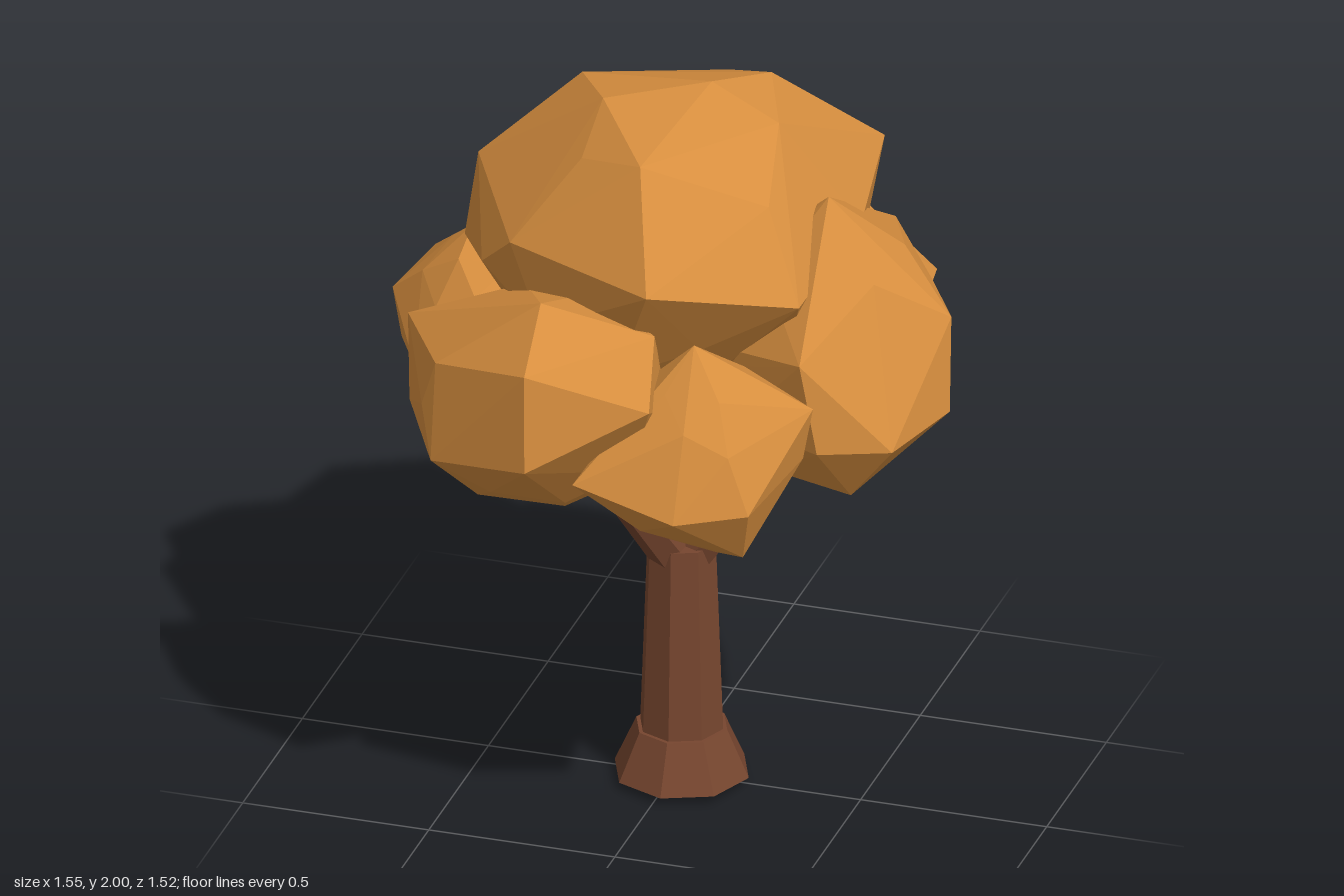
import * as THREE from 'three';
import { ConvexGeometry } from 'three/addons/geometries/ConvexGeometry.js';

const bark = new THREE.MeshStandardMaterial({ name: 'bark', color: 0x77462f, flatShading: true });
const leaves = new THREE.MeshStandardMaterial({ name: 'autumnLeaves', color: 0xd88f3f, flatShading: true });

// Small seeded generator for the uneven facets
function seeded(seed) {
  let s = seed * 7919;
  return () => ((s = (s * 16807) % 2147483647) / 2147483647);
}

// Faceted leaf clump: convex skin around a rough ellipsoid and a few prominent corners
function clump(name, seed, center, radii, corners) {
  const c = new THREE.Vector3(...center);
  const r = new THREE.Vector3(...radii);
  const rand = seeded(seed);
  const points = corners.map((p) => new THREE.Vector3(...p));
  const ball = new THREE.IcosahedronGeometry(1, 1).attributes.position;
  const seen = new Set();
  for (let i = 0; i < ball.count; i++) {
    const d = new THREE.Vector3().fromBufferAttribute(ball, i);
    const key = d.toArray().map((v) => Math.round(v * 100)).join();
    if (seen.has(key)) continue;
    seen.add(key);
    points.push(d.multiplyScalar(0.85 + 0.1 * rand()).multiply(r).add(c));
  }
  const mesh = new THREE.Mesh(new ConvexGeometry(points), leaves);
  mesh.name = name;
  return mesh;
}

// Tapered post between two points
function post(name, from, to, r0, r1, sides) {
  const a = new THREE.Vector3(...from);
  const axis = new THREE.Vector3(...to).sub(a);
  const mesh = new THREE.Mesh(new THREE.CylinderGeometry(r1, r0, axis.length(), sides), bark);
  mesh.position.copy(a).addScaledVector(axis, 0.5);
  mesh.quaternion.setFromUnitVectors(new THREE.Vector3(0, 1, 0), axis.normalize());
  mesh.name = name;
  return mesh;
}

export function createModel() {
  const tree = new THREE.Group();
  tree.name = 'tree';
  const tx = 0.022, tz = 0.008;

  // Trunk with a flared foot
  tree.add(post('trunk', [tx, 0, tz], [tx, 0.68, tz], 0.117, 0.092, 8));
  tree.add(post('rootFlare', [tx, 0.02, tz], [tx, 0.15, tz], 0.18, 0.122, 8));

  // Three branches spread evenly around the trunk
  for (let i = 0; i < 3; i++) {
    const a = (i * Math.PI * 2) / 3;
    const x = Math.cos(a), z = Math.sin(a);
    tree.add(post('branch' + (i + 1), [tx + 0.02 * x, 0.63, tz + 0.02 * z],
      [tx + 0.29 * x, 1.0, tz + 0.29 * z], 0.058, 0.045, 6));
  }

  // Crown
  tree.add(clump('topClump', 1, [-0.03, 1.53, 0.02], [0.5, 0.44, 0.49], [
    [0.1, 2, 0], [-0.57, 1.45, -0.02], [-0.54, 1.68, -0.04], [-0.33, 1.64, 0.35],
    [0.1, 1.64, 0.55], [0.44, 1.56, 0.33], [0.48, 1.62, -0.07], [0.44, 1.71, -0.39],
    [-0.03, 1.53, -0.48], [0.3, 1.94, 0.06], [-0.16, 1.96, 0.1], [0.02, 1.91, 0.35],
    [0.2, 1.95, -0.19], [-0.28, 1.92, -0.1], [0.04, 1.86, -0.34], [0.33, 1.79, 0.24],
    [-0.45, 1.54, -0.2], [0.4, 1.45, -0.35]]));
  tree.add(clump('frontRightClump', 2, [-0.22, 1.25, 0.4], [0.35, 0.31, 0.31], [
    [-0.17, 1.46, 0.73], [-0.16, 1.2, 0.76], [-0.62, 1.37, 0.3], [-0.6, 1.15, 0.35],
    [-0.46, 1.38, 0.57], [-0.46, 1.12, 0.61], [-0.18, 1.59, 0.56], [0.13, 1.35, 0.62],
    [0.1, 1.5, 0.48], [-0.4, 0.93, 0.4], [-0.15, 0.96, 0.45], [-0.12, 1.01, 0.22]]));
  tree.add(clump('frontLeftClump', 3, [0.22, 1.17, 0.43], [0.25, 0.26, 0.23], [
    [0.2, 1.48, 0.46], [0.51, 1.33, 0.43], [0.48, 1.18, 0.42], [0.4, 1.1, 0.63],
    [0.22, 1.08, 0.7], [-0.06, 1.14, 0.67], [0.1, 1.0, 0.6], [0.25, 0.88, 0.43],
    [0.36, 0.94, 0.55], [0.2, 0.96, 0.27]]));
  tree.add(clump('leftClump', 4, [0.4, 1.28, 0], [0.34, 0.38, 0.39], [
    [0.775, 1.21, 0.11], [0.76, 1.45, 0.05], [0.7, 1.2, 0.36], [0.64, 1.28, -0.27],
    [0.44, 1.76, 0.08], [0.6, 1.59, 0.2], [0.6, 1.58, -0.06], [0.4, 0.91, 0.03],
    [0.47, 1.44, 0.42], [0.52, 1.2, 0.43], [0.45, 1.45, -0.45], [0.57, 1.03, 0.3],
    [0.5, 1.0, -0.2], [0.6, 1.03, 0.1]]));
  tree.add(clump('backRightClump', 5, [-0.22, 1.24, -0.42], [0.33, 0.33, 0.31], [
    [-0.17, 1.45, -0.76], [-0.2, 1.2, -0.73], [-0.46, 1.32, -0.71], [-0.55, 1.3, -0.32],
    [-0.52, 1.08, -0.28], [0.1, 1.3, -0.63], [0.08, 1.06, -0.58], [-0.02, 1.5, -0.53],
    [-0.3, 1.6, -0.56], [-0.45, 1.47, -0.37], [-0.22, 0.88, -0.41], [-0.35, 0.93, -0.52],
    [-0.45, 0.96, -0.38], [-0.12, 1.01, -0.2]]));
  tree.add(clump('backLeftClump', 6, [0.27, 1.2, -0.43], [0.26, 0.3, 0.25], [
    [0.25, 1.3, -0.7], [0.51, 1.23, -0.61], [0.55, 1.25, -0.38], [0.25, 1.5, -0.5],
    [0.08, 1.37, -0.66], [-0.03, 1.2, -0.63], [0.18, 0.88, -0.56], [0.2, 0.9, -0.35],
    [0.27, 0.95, -0.25]]));
  tree.add(clump('rightClump', 7, [-0.5, 1.22, -0.08], [0.25, 0.25, 0.25], [
    [-0.78, 1.24, -0.07], [-0.74, 1.13, -0.02], [-0.63, 1.2, -0.31], [-0.65, 1.15, 0.16],
    [-0.56, 1.46, -0.05], [-0.4, 0.95, -0.05]]));

  return tree;
}
